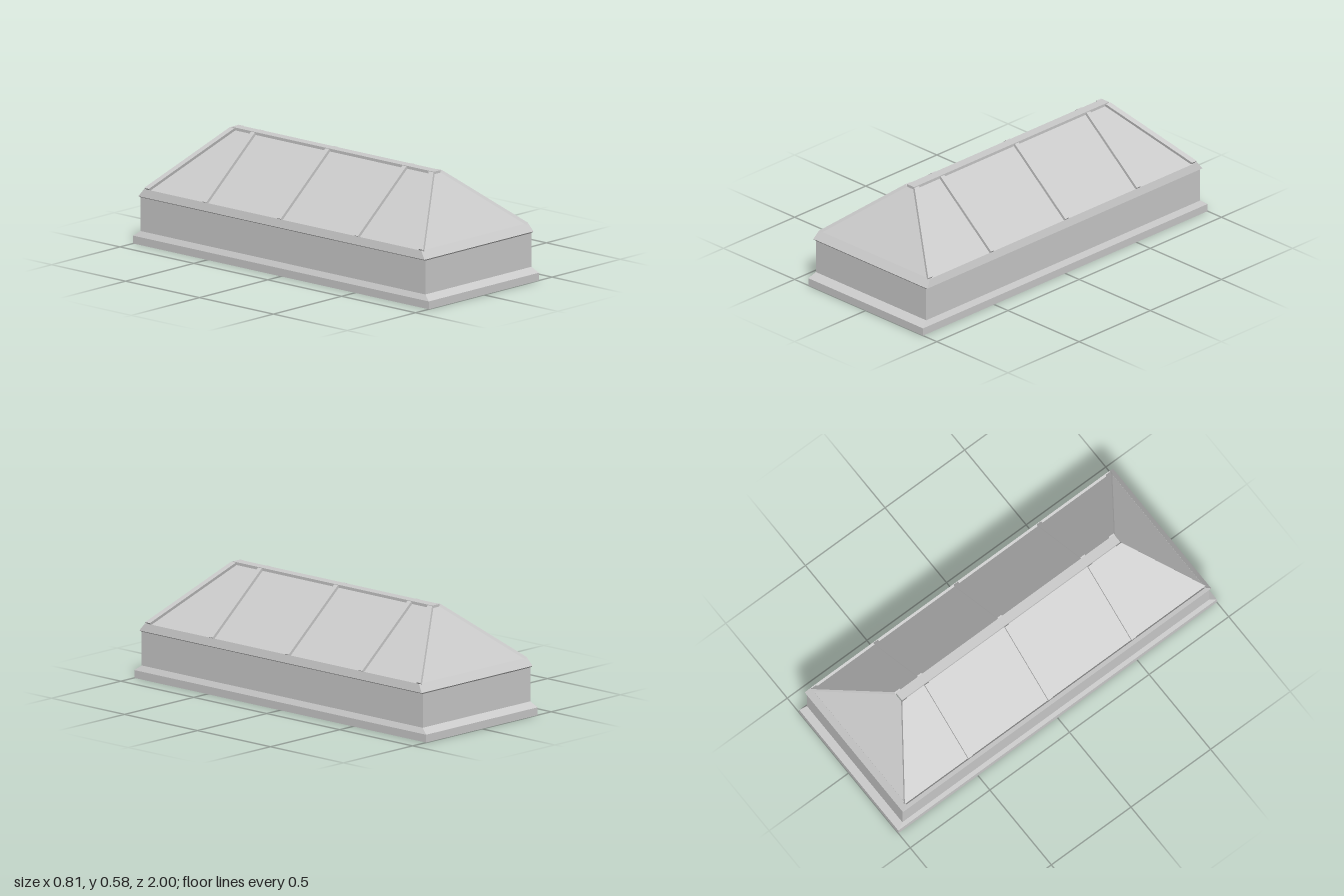
import * as THREE from 'three';

const material = new THREE.MeshStandardMaterial({ color: 0xcccccc, flatShading: true, side: THREE.DoubleSide });

// Roof slope: foot and head of the glazing plane, and its length up the slope
const foot = { x: 0.365, y: 0.287, z: 0.937 };
const head = { x: 0.022, y: 0.57, z: 0.688 };
const slope = Math.hypot(foot.x - head.x, head.y - foot.y);
const cos = (foot.x - head.x) / slope;
const sin = (head.y - foot.y) / slope;
const hipZ = (s) => foot.z + (head.z - foot.z) * s / slope;
const barHeight = 0.0148;

function addMesh(parent, geometry, name) {
  const mesh = new THREE.Mesh(geometry, material);
  mesh.name = name;
  parent.add(mesh);
  return mesh;
}

// Flat-faced geometry from quads, each with four corners
function quads(list) {
  const points = list.flatMap(([a, b, c, d]) => [a, b, c, a, c, d]);
  const geometry = new THREE.BufferGeometry();
  geometry.setAttribute('position', new THREE.Float32BufferAttribute(points.flat(), 3));
  geometry.computeVertexNormals();
  return geometry;
}

// Sheet running around a rectangle, rings given as [half width, half length, height]
function rectangularSheet(rings) {
  const corners = ([x, z, y]) => [[-x, y, z], [x, y, z], [x, y, -z], [-x, y, -z]];
  const faces = [];
  for (let i = 0; i < rings.length - 1; i++) {
    const low = corners(rings[i]);
    const high = corners(rings[i + 1]);
    for (let k = 0; k < 4; k++) {
      const n = (k + 1) % 4;
      faces.push([low[k], low[n], high[n], high[k]]);
    }
  }
  return quads(faces);
}

// One long roof side; outlines are drawn as [z, distance up the slope]
function roofSide(side) {
  const group = new THREE.Group();
  const basis = new THREE.Matrix4().makeBasis(
    new THREE.Vector3(0, 0, -side),
    new THREE.Vector3(-side * cos, sin, 0),
    new THREE.Vector3(side * sin, cos, 0),
  ).setPosition(side * foot.x, foot.y, 0);
  const outline = (pts) => new THREE.Shape(pts.map(([z, s]) => new THREE.Vector2(-side * z, s)));
  const addBar = (pts, name) => addMesh(group,
    new THREE.ExtrudeGeometry(outline(pts), { depth: barHeight, bevelEnabled: false }).applyMatrix4(basis), name);

  // Glazing
  const pane = outline([[-0.938, -0.0195], [0.938, -0.0195], [foot.z, 0],
    [head.z, slope], [-head.z, slope], [-foot.z, 0]]);
  addMesh(group, new THREE.ShapeGeometry(pane).applyMatrix4(basis), 'sideGlazing');

  // Rafters
  for (const z of [0.492, -0.03, -0.533]) {
    const a = z - 0.013;
    const b = z + 0.013;
    addBar([[a, -0.016], [b, -0.016], [b, slope], [a, slope]], 'rafter');
  }

  // Hip bars
  const low = -0.012;
  const width = 0.032;
  for (const end of [1, -1]) {
    addBar([[end * hipZ(low), low], [end * hipZ(slope), slope],
      [end * (hipZ(slope) - width), slope], [end * (hipZ(low) - width), low]], 'hipBar');
  }
  return group;
}

export function createModel() {
  const model = new THREE.Group();
  model.name = 'skylight';

  // Upstand walls with flared base flange, open at the bottom
  addMesh(model, rectangularSheet([[0.403, 1, 0], [0.403, 1, 0.04],
    [0.388, 0.963, 0.067], [0.388, 0.963, 0.24]]), 'curb');

  // Eave skirt with inward lip
  addMesh(model, rectangularSheet([[0.388, 0.963, 0.24], [0.4, 0.968, 0.247],
    [0.39, 0.938, 0.287], [0.38, 0.93, 0.2745]]), 'eaveSkirt');

  // Sloping sides
  for (const side of [1, -1]) {
    const group = roofSide(side);
    group.name = side > 0 ? 'leftRoofSide' : 'rightRoofSide';
    model.add(group);
  }

  // Sloping ends
  const low = -0.008;
  const lx = foot.x - low * cos;
  const ly = foot.y + low * sin;
  for (const end of [1, -1]) {
    const w = end * lx;
    const h = end * head.x;
    addMesh(model, quads([[[-w, ly, end * hipZ(low)], [w, ly, end * hipZ(low)],
      [h, head.y, end * head.z], [-h, head.y, end * head.z]]]), end > 0 ? 'frontHipEnd' : 'backHipEnd');
  }

  // Ridge cap
  const ridge = new THREE.BoxGeometry(0.05, 0.016, 2 * head.z - 0.006);
  addMesh(model, ridge, 'ridgeCap').position.y = 0.574;

  return model;
}
